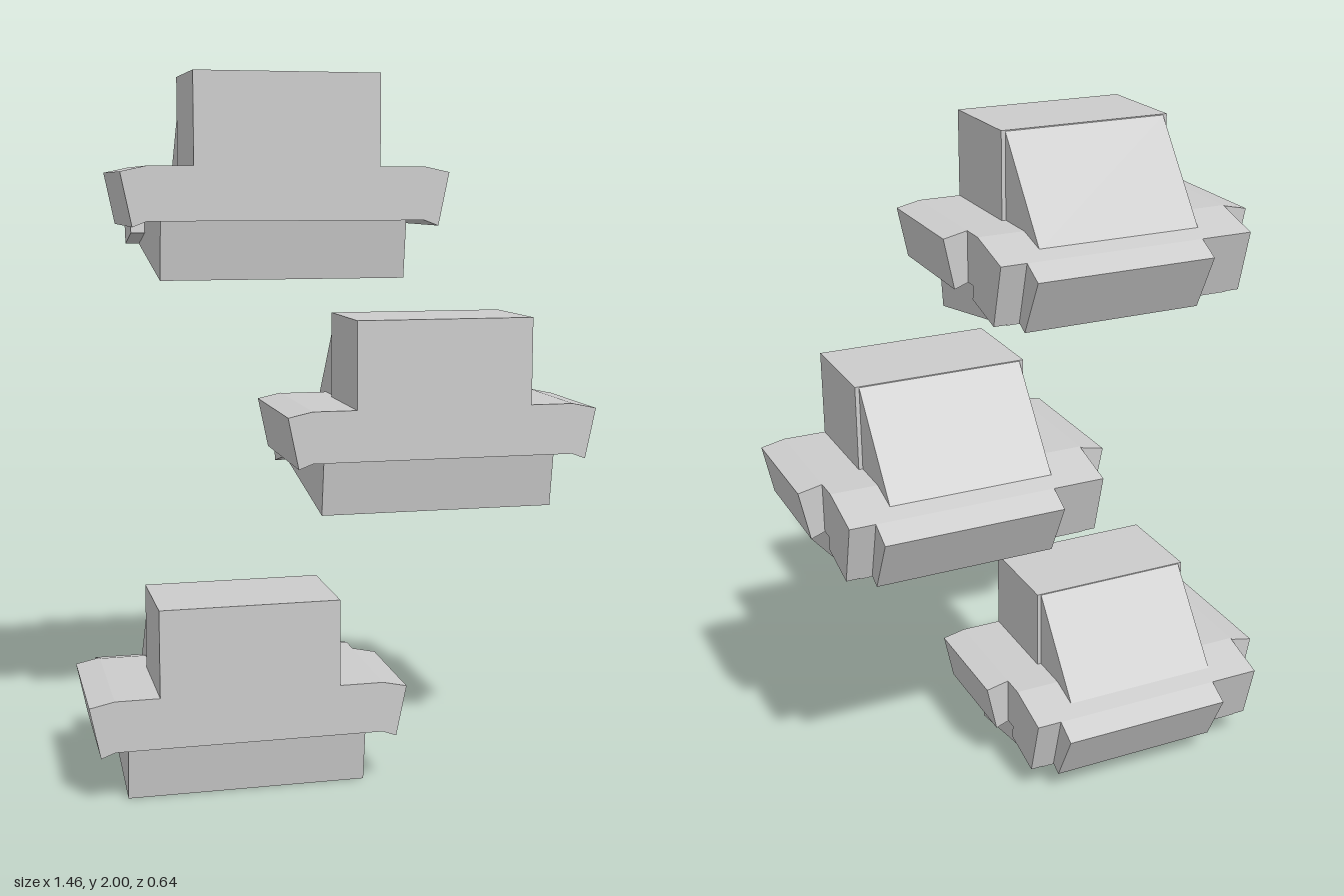
import * as THREE from 'three';

const material = new THREE.MeshStandardMaterial({ color: 0xcccccc, flatShading: true });

function extrude(points, depth) {
  const shape = new THREE.Shape(points.map(([a, b]) => new THREE.Vector2(a, b)));
  return new THREE.ExtrudeGeometry(shape, { depth, bevelEnabled: false });
}

// Side profile of [z, y] points, spanning x0 to x1
function alongX(points, x0, x1) {
  return extrude(points, x1 - x0).rotateY(-Math.PI / 2).translate(x1, 0, 0);
}

// Front profile of [x, y] points, spanning z0 to z1
function alongZ(points, z0, z1) {
  return extrude(points, z1 - z0).translate(0, 0, z0);
}

const rimProfile = [[0.38, 0.16], [0.42, 0.145], [0.45, 0.29], [0.38, 0.305]];

const parts = {
  // Upright block on top
  upperBlock: alongX([[0.32, 0.3], [0.32, 0.553], [0.02, 0.553], [0.02, 0.3]], -0.255, 0.255),
  // Slightly narrower sloping back
  slopedBack: alongX([[0.02, 0.25], [0.02, 0.55], [-0.195, 0.278], [-0.19, 0.25]], -0.243, 0.243),
  // Wide slab that steps down and bends at the back
  middleSlab: alongX([
    [0.32, 0.16], [0.32, 0.305], [-0.1, 0.305], [-0.25, 0.265],
    [-0.2, 0.085], [-0.06, 0.12], [-0.065, 0.16],
  ], -0.38, 0.38),
  // Rear lip, set off to one side
  rearLip: alongX([[-0.25, 0.265], [-0.318, 0.23], [-0.235, 0.068], [-0.2, 0.085]], -0.225, 0.305),
  // Flared side rims of unequal length
  leftRim: alongZ(rimProfile, -0.03, 0.32),
  rightRim: alongZ(rimProfile.map(([x, y]) => [-x, y]), -0.11, 0.32),
  // Tapering underside
  lowerWedge: alongX([[0.28, 0.16], [0.255, 0], [-0.2, 0.083], [-0.2, 0.16]], -0.34, 0.34),
  // Fine ridge under the wedge
  undersideRidge: new THREE.BoxGeometry(0.46, 0.02, 0.008).translate(-0.02, 0.056, -0.022),
};

export function createModel() {
  const model = new THREE.Group();
  model.name = 'steppedBlocks';
  // Three identical units, one above the other
  const places = [['lowerUnit', -0.28, 0], ['middleUnit', 0.277, 0.782], ['upperUnit', -0.17, 1.447]];
  for (const [name, x, y] of places) {
    const unit = new THREE.Group();
    unit.name = name;
    unit.position.set(x, y, 0);
    for (const [part, geometry] of Object.entries(parts)) {
      const mesh = new THREE.Mesh(geometry, material);
      mesh.name = part;
      unit.add(mesh);
    }
    model.add(unit);
  }
  return model;
}
